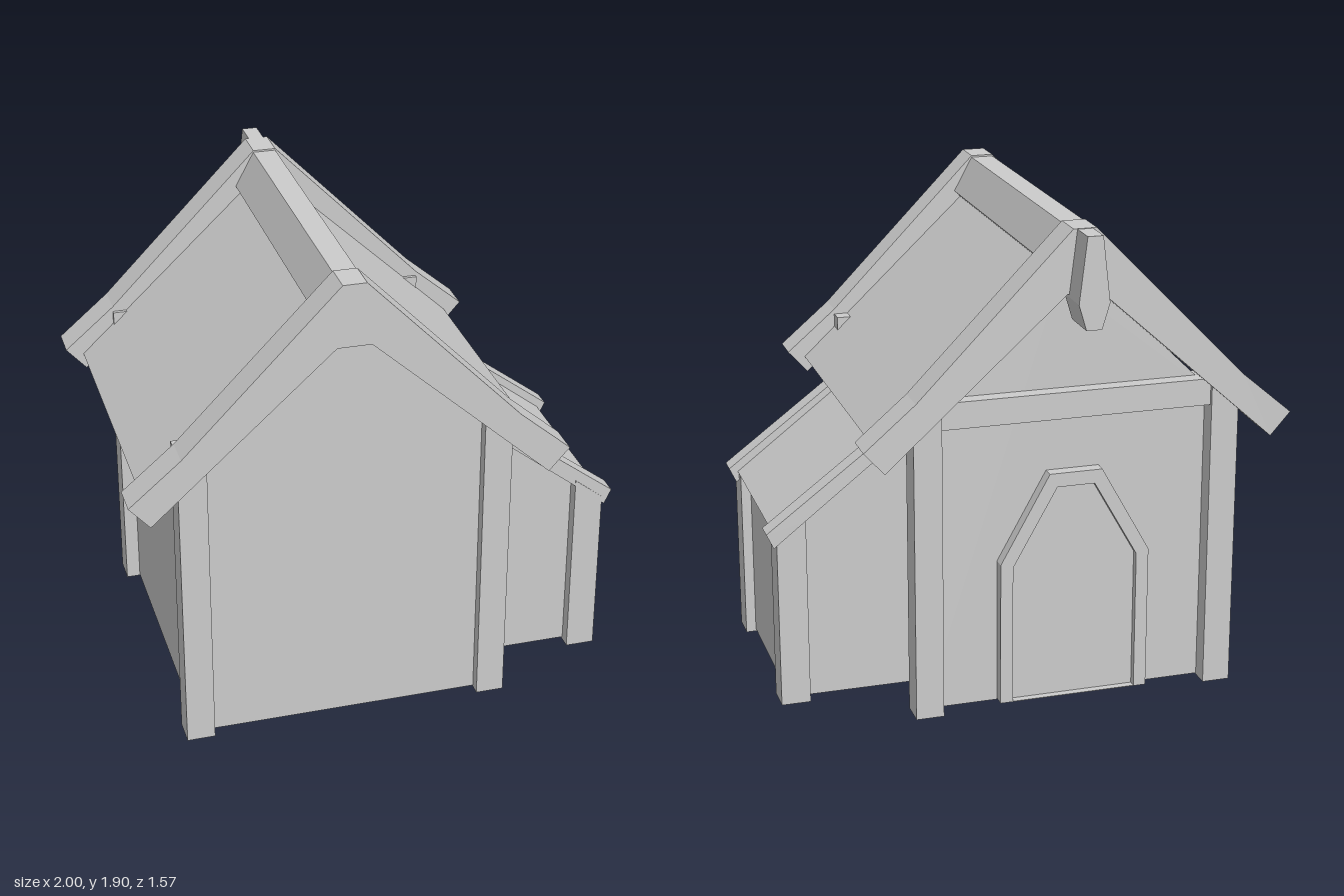
import * as THREE from 'three';

const CX = -0.155; // centre line of the main house

export function createModel() {
  const group = new THREE.Group();
  const mat = new THREE.MeshStandardMaterial({ color: 0xcccccc, flatShading: true });

  const add = (name, geometry) => {
    const mesh = new THREE.Mesh(geometry, mat);
    mesh.name = name;
    group.add(mesh);
    return mesh;
  };
  // Box given by its limits on each axis
  const box = (name, x0, x1, y0, y1, z0, z1) =>
    add(name, new THREE.BoxGeometry(x1 - x0, y1 - y0, z1 - z0)
      .translate((x0 + x1) / 2, (y0 + y1) / 2, (z0 + z1) / 2));
  const toShape = pts => new THREE.Shape(pts.map(p => new THREE.Vector2(...p)));
  // Outline in x and y, extruded from z0 to z1
  const prism = (name, shape, z0, z1) =>
    add(name, new THREE.ExtrudeGeometry(shape, { depth: z1 - z0, bevelEnabled: false })
      .translate(0, 0, z0));
  // Completes a half outline (offsets from the centre line) with its mirror
  const mirrored = half => [
    ...half.map(([x, y]) => [CX + x, y]),
    ...half.slice().reverse().map(([x, y]) => [CX - x, y]),
  ];

  // Main house: gabled body, corner posts and rear cross beam
  prism('houseWalls', toShape(mirrored([[0.59, 0.005], [0.59, 1.17], [0.06, 1.69]])), -0.555, 0.655);
  for (const x of [-0.8, 0.38])
    for (const z of [-0.63, 0.59]) box('cornerPost', x, x + 0.11, 0, 1.27, z, z + 0.11);
  box('rearCrossBeam', -0.7, 0.39, 1.16, 1.265, -0.615, -0.5);

  // Roof: sloping panels, ridge cap and bargeboards
  for (const s of [1, -1]) {
    const pts = [[0.08, 1.75], [0.775, 1.095], [0.755, 1.073], [0.08, 1.71]];
    prism('roofPanel', toShape(pts.map(([x, y]) => [CX + s * x, y])), -0.56, 0.67);
  }
  prism('ridgeCap', toShape(mirrored([[0.085, 1.725], [0.12, 1.76], [0.045, 1.898]])), -0.55, 0.67);
  const board = toShape([
    ...mirrored([[0.845, 1.12], [0.645, 1.29], [0.045, 1.905]]),
    ...mirrored([[0.765, 1.03], [0.065, 1.66]]).reverse(),
  ]);
  prism('rearBargeboard', board, -0.67, -0.535);
  prism('frontBargeboard', board, 0.65, 0.78);

  // Finial at the rear end of the ridge
  prism('finial', toShape(mirrored([[0.03, 1.55], [0.06, 1.65], [0.03, 1.903]])), -0.785, -0.62);

  // Arched door on the rear wall
  const frame = toShape(mirrored([[0.3, 0.01], [0.3, 0.59], [0.105, 0.94]]));
  const opening = mirrored([[0.25, 0.012], [0.25, 0.575], [0.075, 0.885]]);
  frame.holes.push(new THREE.Path(opening.map(p => new THREE.Vector2(...p))));
  prism('doorFrame', frame, -0.605, -0.54);
  prism('door', toShape(opening), -0.575, -0.54);

  // Side annex: walls, outer posts, roof panel and rafters
  prism('annexWalls', toShape([[0.4, 0.01], [0.92, 0.01], [0.92, 0.71], [0.4, 1.12]]), -0.31, 0.435);
  const postTop = [[0.845, 0], [0.96, 0], [0.96, 0.695], [0.845, 0.785]];
  for (const z of [-0.355, 0.37]) prism('annexPost', toShape(postTop), z, z + 0.115);
  prism('annexRoofPanel', toShape([[0.42, 1.125], [0.965, 0.705], [0.95, 0.685], [0.42, 1.09]]), -0.3, 0.415);
  const rafter = toShape([[0.42, 1.155], [1.0, 0.72], [0.972, 0.66], [0.845, 0.76], [0.42, 1.092]]);
  for (const z of [-0.36, 0.405]) prism('annexRafter', rafter, z, z + 0.078);

  return group;
}
